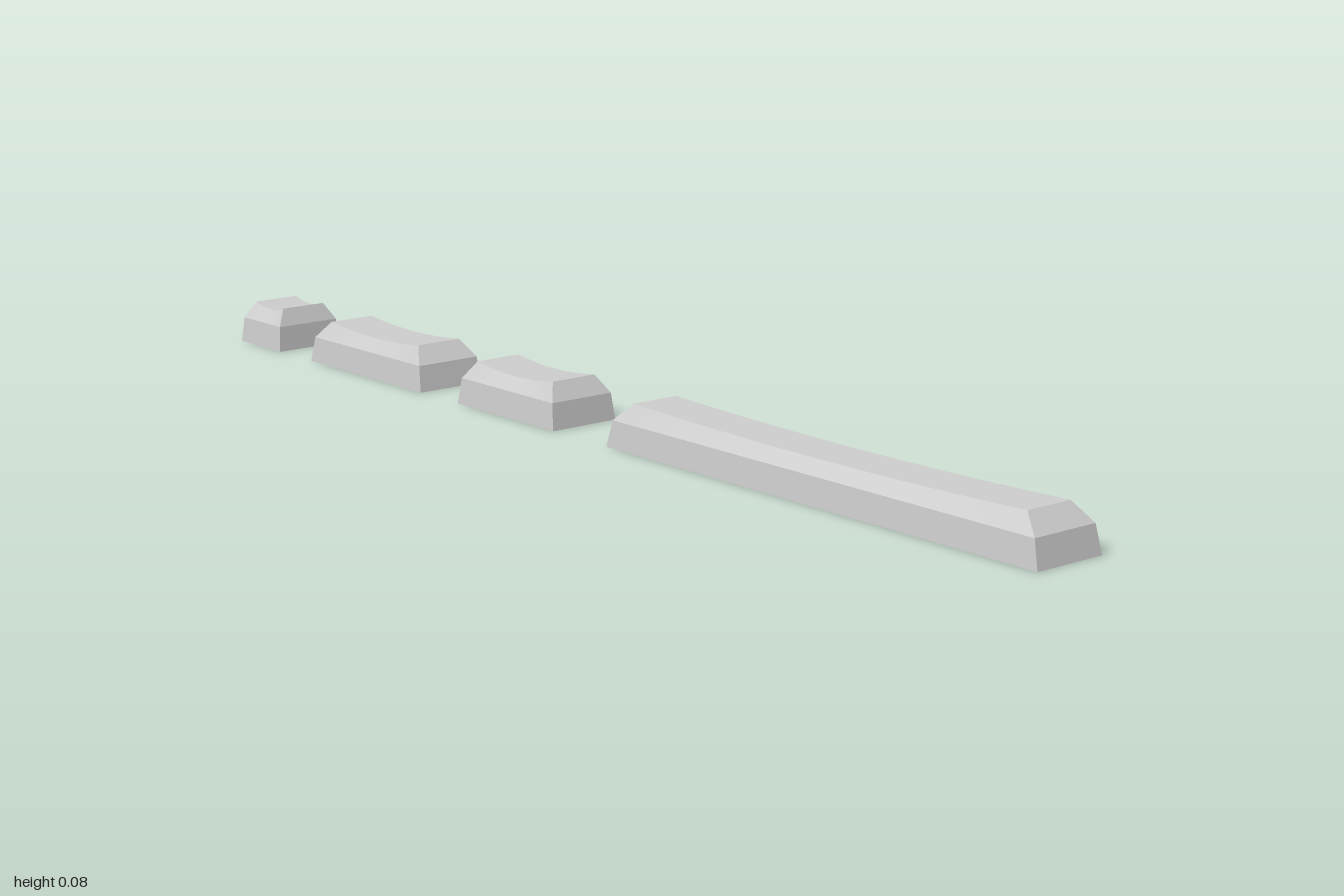
import * as THREE from 'three';
import { mergeGeometries } from 'three/addons/utils/BufferGeometryUtils.js';

const MID = 0.045, TOP = 0.075;

// Four corners of a horizontal rectangle, counterclockwise from above, front-right first
function ring(y, hw, hl, zc) {
  return [[-1, 1], [1, 1], [1, -1], [-1, -1]].map(([sx, sz]) => new THREE.Vector3(sx * hw, y, zc + sz * hl));
}

// Bilinear patch between four corners as seen from outside, then bent by a rule
function patch(tl, tr, bl, br, segments, bend) {
  const geo = new THREE.PlaneGeometry(1, 1, segments, 1);
  const pos = geo.attributes.position;
  const a = new THREE.Vector3(), b = new THREE.Vector3();
  for (let i = 0; i < pos.count; i++) {
    const u = pos.getX(i) + 0.5, v = pos.getY(i) + 0.5;
    a.lerpVectors(bl, br, u);
    b.lerpVectors(tl, tr, u);
    a.lerp(b, v);
    bend(a);
    pos.setXYZ(i, a.x, a.y, a.z);
  }
  geo.computeVertexNormals();
  return geo;
}

// Bar with steep lower walls, a chamfer and a top hollowed along its length
function keyGeometry(z0, z1, inset, dip) {
  const zc = (z0 + z1) / 2, half = (z1 - z0) / 2, topHalf = half - inset;
  const base = ring(0, 0.066, half, zc);
  const mid = ring(MID, 0.062, half - inset * 0.25, zc);
  const top = ring(TOP, 0.044, topHalf, zc);
  const sag = (p) => {
    const t = Math.min(1, Math.abs(p.z - zc) / topHalf);
    const rise = Math.max(0, (p.y - MID) / (TOP - MID));
    p.y -= dip * (1 - t * t) * rise;
  };
  const parts = [];
  for (let i = 0; i < 4; i++) {
    const j = (i + 1) % 4;
    const segments = i % 2 ? 16 : 1;
    parts.push(patch(mid[i], mid[j], base[i], base[j], 1, sag));
    parts.push(patch(top[i], top[j], mid[i], mid[j], segments, sag));
  }
  parts.push(patch(top[0], top[3], top[1], top[2], 16, sag)); // hollow top
  parts.push(patch(base[1], base[2], base[0], base[3], 1, sag)); // underside
  return mergeGeometries(parts);
}

export function createModel() {
  const model = new THREE.Group();
  model.name = 'keyRow';
  const material = new THREE.MeshStandardMaterial({ color: 0xcccccc });
  // name, back z, front z, end inset, depth of the hollow
  const keys = [
    ['longKey', 0.075, 1.0, 0.042, 0.008],
    ['shortKey', -0.323, -0.062, 0.028, 0.008],
    ['mediumKey', -0.768, -0.43, 0.036, 0.008],
    ['smallKey', -1.0, -0.87, 0.02, 0.008],
  ];
  for (const [name, z0, z1, inset, dip] of keys) {
    const mesh = new THREE.Mesh(keyGeometry(z0, z1, inset, dip), material);
    mesh.name = name;
    model.add(mesh);
  }
  return model;
}
